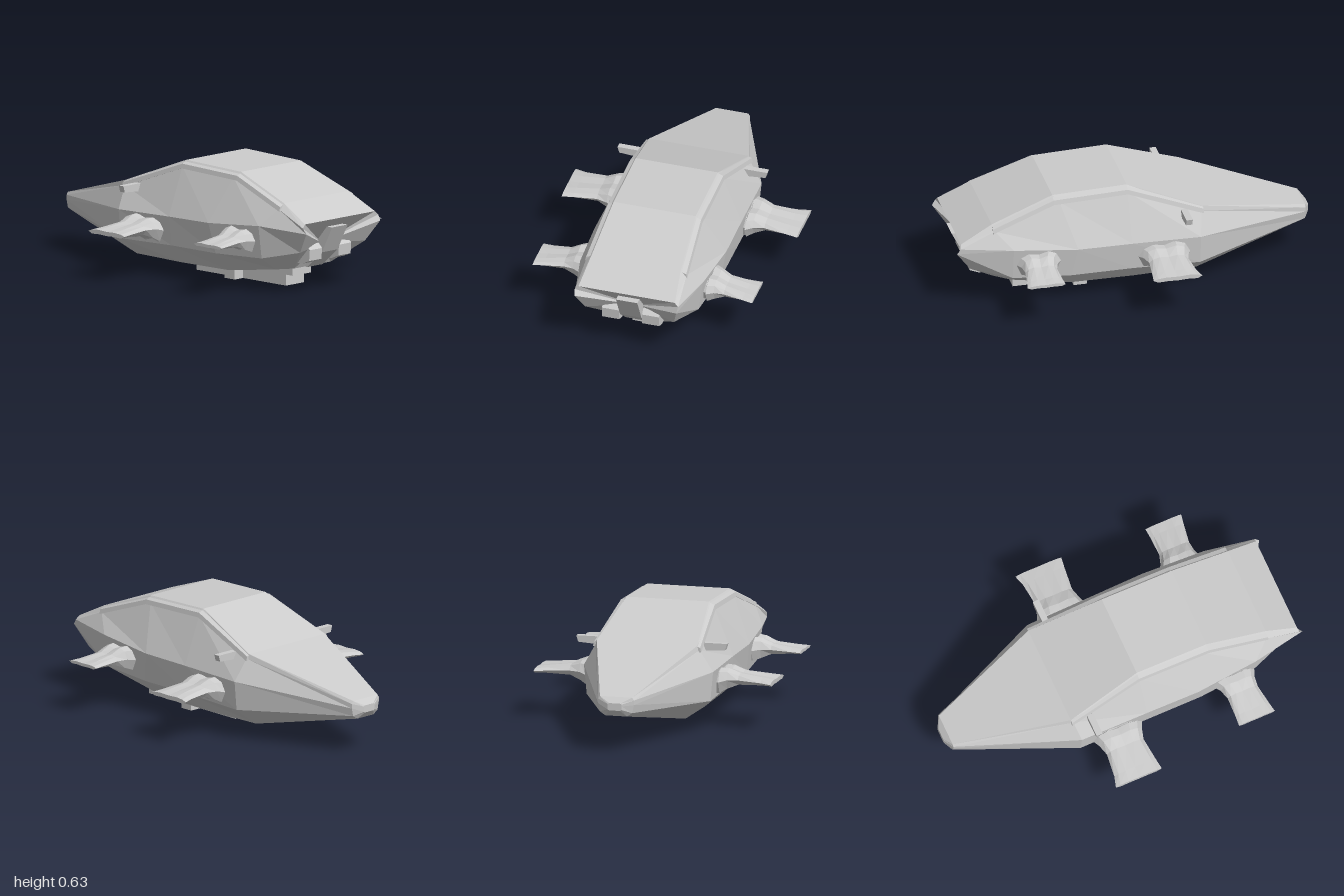
import * as THREE from 'three';

const mat = new THREE.MeshStandardMaterial({ color: 0xcccccc, flatShading: true, side: THREE.DoubleSide });

function add(parent, name, geometry) {
  const mesh = new THREE.Mesh(geometry, mat);
  mesh.name = name;
  parent.add(mesh);
  return mesh;
}

// Skin closed rings of [x, y, z]; rings turn counter-clockwise about the direction of travel.
function loft(rings, startCentre, endCentre) {
  const pos = [];
  const n = rings[0].length;
  const tri = (a, b, c) => pos.push(...a, ...b, ...c);
  for (let i = 0; i < rings.length - 1; i++) {
    for (let j = 0; j < n; j++) {
      const k = (j + 1) % n;
      const a = rings[i][j], b = rings[i][k], c = rings[i + 1][k], d = rings[i + 1][j];
      tri(a, b, c);
      tri(a, c, d);
    }
  }
  const mean = (r) => [0, 1, 2].map((q) => r.reduce((s, p) => s + p[q], 0) / n);
  const first = rings[0], last = rings[rings.length - 1];
  const s = startCentre || mean(first), e = endCentre || mean(last);
  for (let j = 0; j < n; j++) {
    const k = (j + 1) % n;
    tri(s, first[k], first[j]);
    tri(e, last[j], last[k]);
  }
  const g = new THREE.BufferGeometry();
  g.setAttribute('position', new THREE.Float32BufferAttribute(pos, 3));
  g.computeVertexNormals();
  return g;
}

// Block with a side profile in x, y running from z0 to z1.
function slab(points, z0, z1) {
  const shape = new THREE.Shape(points.map((p) => new THREE.Vector2(...p)));
  return new THREE.ExtrudeGeometry(shape, { depth: z1 - z0, bevelEnabled: false }).translate(0, 0, z0);
}

// Hull: each station lists roof edge, shoulder, beltline, chine and keel edge on one side.
function hull() {
  const stations = [
    [[-1, 0.275, 0.03], [-1, 0.27, 0.04], [-1, 0.26, 0.04], [-1, 0.24, 0.04], [-1, 0.235, 0.03]],
    [[-0.97, 0.305, 0.09], [-0.97, 0.29, 0.1], [-0.97, 0.265, 0.1], [-0.97, 0.22, 0.09], [-0.97, 0.2, 0.06]],
    [[-0.36, 0.475, 0.28], [-0.35, 0.45, 0.29], [-0.33, 0.33, 0.36], [-0.33, 0.17, 0.345], [-0.34, 0.068, 0.21]],
    [[0.05, 0.632, 0.23], [0.05, 0.6, 0.26], [0.05, 0.34, 0.365], [0.05, 0.18, 0.345], [0, 0.065, 0.22]],
    [[0.46, 0.62, 0.23], [0.43, 0.59, 0.26], [0.35, 0.345, 0.37], [0.38, 0.18, 0.345], [0.36, 0.068, 0.22]],
    [[0.8, 0.495, 0.25], [0.79, 0.465, 0.28], [0.7, 0.37, 0.345], [0.7, 0.19, 0.32], [0.68, 0.11, 0.19]],
    [[0.975, 0.405, 0.27], [0.98, 0.385, 0.29], [1, 0.355, 0.285], [0.92, 0.24, 0.25], [0.77, 0.12, 0.14]],
  ];
  const rings = stations.map((half) => [...half, ...half.map(([x, y, z]) => [x, y, -z]).reverse()]);
  return loft(rings, null, [0.84, 0.25, 0]);
}

// Wing sections are [z, middle x, half width, middle y, half height] with a twelve-sided outline.
function wing(outline, sections, side) {
  const rings = sections.map(([z, cx, w, cy, h]) => {
    const ring = outline.map(([u, v]) => [cx + u * w, cy + v * h, z * side]);
    return side > 0 ? ring : ring.reverse();
  });
  return loft(rings);
}

export function createModel() {
  const model = new THREE.Group();
  model.name = 'shuttle';
  add(model, 'hull', hull());

  // Raised frame along the roof edge, above the side panels
  const rail = [[-0.36, 0.475, 0.27], [0.05, 0.625, 0.235], [0.46, 0.612, 0.235], [0.8, 0.488, 0.255]];
  for (const s of [1, -1]) {
    const rings = rail.map(([x, y, z]) => {
      const r = [[x, y, z], [x, y - 0.01, z + 0.026], [x, y - 0.035, z + 0.032], [x, y - 0.035, z]];
      return s > 0 ? r : r.map(([a, b, c]) => [a, b, -c]).reverse();
    });
    add(model, s > 0 ? 'frontRoofRail' : 'backRoofRail', loft(rings));
  }

  // Stern engines
  add(model, 'centreEngine', slab([[0.7, 0.12], [0.79, 0.12], [0.9, 0.215], [0.975, 0.36], [0.7, 0.36]], -0.06, 0.06));
  for (const s of [1, -1]) {
    const z = s > 0 ? 0.065 : -0.16;
    add(model, 'sideEngine', slab([[0.7, 0.155], [0.85, 0.16], [0.9, 0.18], [0.905, 0.24], [0.88, 0.265], [0.7, 0.25]], z, z + 0.095));
  }

  // Belly skid with side blocks and an aft mount
  const box = (name, x0, x1, y0, y1, z0, z1) => add(model, name,
    new THREE.BoxGeometry(x1 - x0, y1 - y0, z1 - z0).translate((x0 + x1) / 2, (y0 + y1) / 2, (z0 + z1) / 2));
  box('skid', -0.03, 0.64, 0, 0.075, -0.07, 0.07);
  box('skidBlock', 0.245, 0.32, 0, 0.065, 0.07, 0.135);
  box('skidBlock', 0.245, 0.32, 0, 0.065, -0.135, -0.07);
  box('skidMount', 0.4, 0.69, 0.06, 0.12, -0.07, 0.07);

  // Wings: a housing at the root narrowing to a thin, ribbed blade
  const outline = [[1, 0], [0.8, 0.6], [0.45, 0.9], [0, 0.75], [-0.45, 1], [-0.8, 0.75],
    [-1, 0], [-0.8, -0.9], [-0.4, -0.7], [0, -0.9], [0.4, -0.7], [0.8, -0.9]];
  const frontWing = [[0.3, -0.12, 0.11, 0.25, 0.065], [0.365, -0.125, 0.115, 0.255, 0.07],
    [0.37, -0.125, 0.143, 0.26, 0.068], [0.41, -0.125, 0.125, 0.27, 0.055],
    [0.47, -0.125, 0.108, 0.27, 0.03], [0.6, -0.125, 0.122, 0.265, 0.018], [0.66, -0.13, 0.135, 0.262, 0.014]];
  const rearWing = [[0.28, 0.56, 0.09, 0.28, 0.06], [0.35, 0.565, 0.1, 0.28, 0.06],
    [0.355, 0.565, 0.122, 0.285, 0.066], [0.395, 0.57, 0.1, 0.29, 0.055],
    [0.45, 0.575, 0.088, 0.288, 0.028], [0.56, 0.582, 0.098, 0.284, 0.014], [0.615, 0.585, 0.105, 0.282, 0.01]];
  for (const s of [1, -1]) {
    add(model, 'forwardWing', wing(outline, frontWing, s));
    add(model, 'aftWing', wing(outline, rearWing, s));
  }

  // Small fins on the upper sides
  for (const s of [1, -1]) {
    const fin = [[0.27, 0.43], [0.41, 0.44], [0.42, 0.475], [0.29, 0.475]];
    const rings = [-0.27, -0.235].map((x) => {
      const r = fin.map(([z, y]) => [x, y, z * s]);
      return s > 0 ? r.reverse() : r;
    });
    add(model, 'sideFin', loft(rings));
  }
  return model;
}
